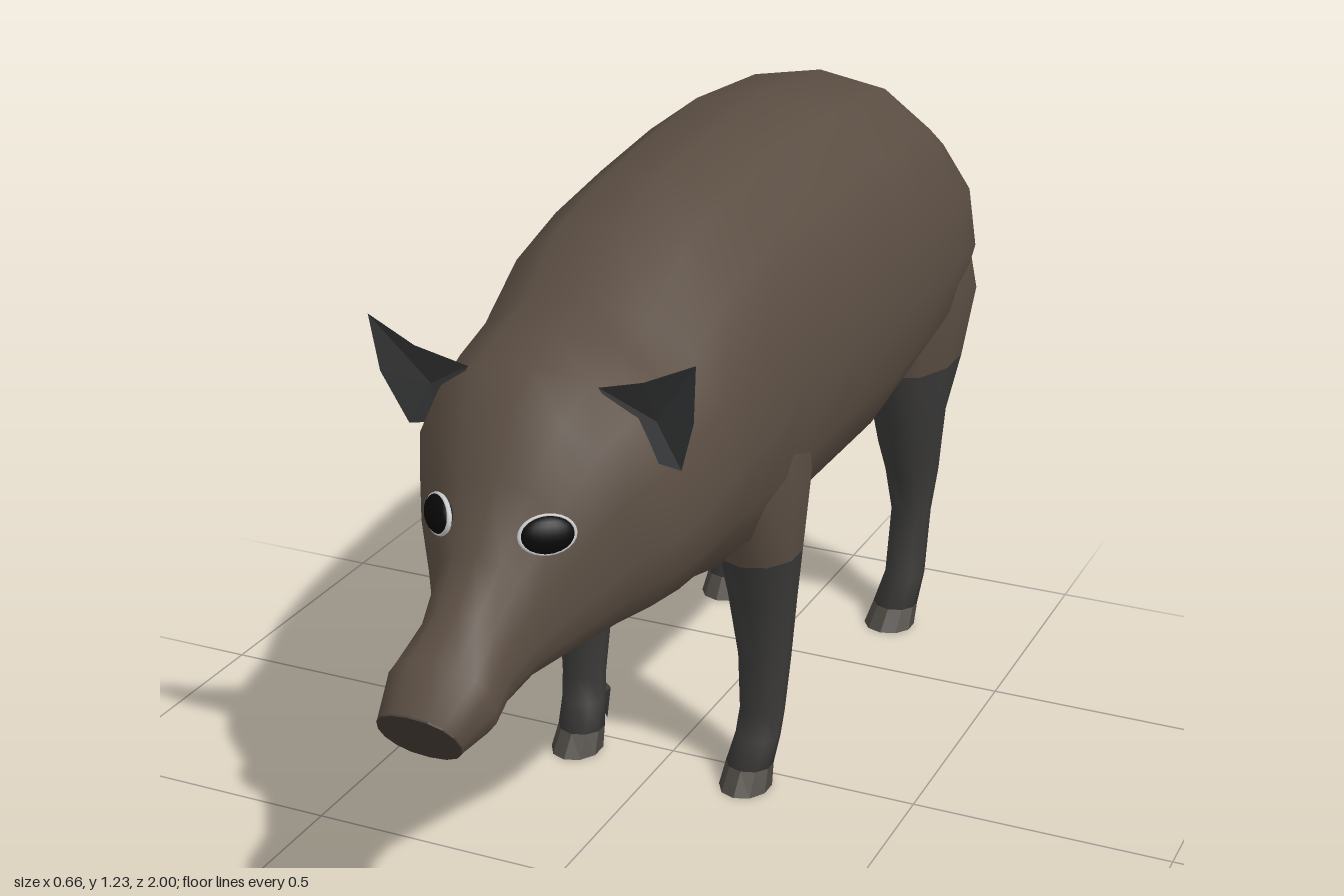
import * as THREE from 'three';

const mat = (color, extra = {}) => new THREE.MeshStandardMaterial({ color, ...extra });
const HIDE = mat(0x5b4e43);
const DARK = mat(0x3b3a39);
const EAR = mat(0x393a3b, { side: THREE.DoubleSide, flatShading: true });
const HOOF = mat(0x4a4640, { flatShading: true });
const BLACK = mat(0x080808);
const RIM = mat(0xcccccc);

function add(parent, name, geometry, material) {
  const mesh = new THREE.Mesh(geometry, material);
  mesh.name = name;
  parent.add(mesh);
  return mesh;
}

// Skin over a list of closed rings, capped at both ends
function loft(rings) {
  const n = rings[0].length, pos = [], index = [];
  rings.forEach(r => r.forEach(p => pos.push(...p)));
  const cap = (r, start) => {
    const c = pos.length / 3, base = r * n;
    pos.push(...[0, 1, 2].map(k => rings[r].reduce((s, p) => s + p[k], 0) / n));
    for (let j = 0; j < n; j++) {
      const a = base + j, b = base + (j + 1) % n;
      index.push(c, start ? b : a, start ? a : b);
    }
  };
  cap(0, true);
  for (let i = 0; i < rings.length - 1; i++) {
    for (let j = 0; j < n; j++) {
      const a = i * n + j, b = i * n + (j + 1) % n;
      index.push(a, b, a + n, b, b + n, a + n);
    }
  }
  cap(rings.length - 1, false);
  const g = new THREE.BufferGeometry();
  g.setAttribute('position', new THREE.Float32BufferAttribute(pos, 3));
  g.setIndex(index);
  g.computeVertexNormals();
  return g;
}

// Upright body section, leaning from (zTop, yTop) to (zBottom, yBottom)
function bodyRing([zT, yT, zB, yB, half, yMid], n = 16) {
  return Array.from({ length: n }, (_, j) => {
    const a = j / n * Math.PI * 2, s = Math.sin(a), c = Math.cos(a);
    const x = half * Math.sign(s) * Math.abs(s) ** 0.88;
    const y = c > 0 ? yMid + (yT - yMid) * c ** 0.9 : yMid + (yMid - yB) * c;
    return [x, y, zB + (zT - zB) * (y - yB) / (yT - yB)];
  });
}

// Level leg section: height, centre x and z, radii x and z
function legRing([y, x, z, rx, rz], side, n = 10) {
  return Array.from({ length: n }, (_, j) => {
    const a = j / n * Math.PI * 2;
    return [side * x - rx * Math.sin(a), y, z + rz * Math.cos(a)];
  });
}

const BODY = [
  [1.00, 0.57, 0.94, 0.47, 0.075, 0.52],
  [0.92, 0.63, 0.87, 0.475, 0.098, 0.55],
  [0.84, 0.68, 0.80, 0.485, 0.085, 0.57],
  [0.77, 0.75, 0.72, 0.50, 0.10, 0.60],
  [0.70, 0.86, 0.64, 0.505, 0.15, 0.65],
  [0.64, 0.96, 0.55, 0.51, 0.205, 0.70],
  [0.57, 1.01, 0.48, 0.51, 0.245, 0.72],
  [0.46, 1.035, 0.40, 0.50, 0.265, 0.74],
  [0.36, 1.06, 0.31, 0.49, 0.27, 0.76],
  [0.22, 1.15, 0.20, 0.46, 0.28, 0.79],
  [0.04, 1.19, 0.09, 0.43, 0.29, 0.82],
  [-0.18, 1.21, -0.09, 0.455, 0.305, 0.84],
  [-0.42, 1.225, -0.42, 0.47, 0.325, 0.85],
  [-0.72, 1.20, -0.64, 0.54, 0.328, 0.85],
  [-0.82, 1.12, -0.77, 0.60, 0.32, 0.85],
  [-0.88, 1.05, -0.85, 0.64, 0.285, 0.84],
  [-0.925, 0.92, -0.91, 0.69, 0.20, 0.81],
  [-0.935, 0.86, -0.925, 0.74, 0.08, 0.80],
];

const FRONT_LEG = [
  [0.85, 0.20, 0.05, 0.07, 0.11], [0.65, 0.20, 0.04, 0.083, 0.13],
  [0.48, 0.185, 0.015, 0.078, 0.092], [0.38, 0.185, 0, 0.066, 0.066],
  [0.25, 0.19, -0.003, 0.051, 0.048], [0.14, 0.19, 0.005, 0.044, 0.037],
  [0.09, 0.186, 0.015, 0.044, 0.038], [0.04, 0.18, 0.04, 0.046, 0.046],
];
const FRONT_HOOF = [[0.04, 0.18, 0.04, 0.046, 0.046], [0, 0.18, 0.06, 0.05, 0.06]];

const HIND_LEG = [
  [0.95, 0.20, -0.73, 0.10, 0.14], [0.75, 0.218, -0.77, 0.105, 0.165],
  [0.60, 0.21, -0.77, 0.088, 0.15], [0.48, 0.20, -0.765, 0.074, 0.108],
  [0.40, 0.20, -0.78, 0.064, 0.095], [0.33, 0.20, -0.80, 0.054, 0.08],
  [0.24, 0.205, -0.79, 0.042, 0.042], [0.10, 0.203, -0.77, 0.042, 0.042],
  [0.04, 0.195, -0.738, 0.047, 0.047],
];
const HIND_HOOF = [[0.04, 0.195, -0.738, 0.047, 0.047], [0, 0.192, -0.71, 0.053, 0.055]];

function makeLeg(name, rings, hoof, side) {
  const leg = new THREE.Group();
  leg.name = name;
  // Hide-coloured upper part, dark shin
  const g = loft(rings.map(r => legRing(r, side)));
  const split = 30 + 60 * 2;
  g.addGroup(0, split, 0);
  g.addGroup(split, g.index.count - split, 1);
  add(leg, 'limb', g, [HIDE, DARK]);
  add(leg, 'hoof', loft(hoof.map(r => legRing(r, side))), HOOF);
  // Pair of dewclaws behind the hoof
  const [, x, z, , rz] = hoof[0];
  for (const s of [-1, 1]) {
    const claw = add(leg, 'dewclaw', new THREE.ConeGeometry(0.016, 0.08, 5), DARK);
    claw.position.set(side * x + s * 0.022, 0.062, z - rz - 0.015);
    claw.rotation.x = Math.PI + 0.25;
  }
  return leg;
}

function makeEar(side) {
  const rim = [[0.12, 0.985, 0.56], [0.21, 1.015, 0.58], [0.30, 1.056, 0.575],
    [0.29, 0.95, 0.56], [0.255, 0.85, 0.53], [0.19, 0.87, 0.55]];
  const centres = [[0.215, 0.92, 0.455], [0.21, 0.93, 0.53]];
  const pos = [];
  // Bulging back and cupped front share one rim
  centres.forEach((c, k) => rim.forEach((p, i) => {
    const q = rim[(i + 1) % rim.length];
    const tri = (k === 0) === (side > 0) ? [c, p, q] : [c, q, p];
    tri.forEach(v => pos.push(side * v[0], v[1], v[2]));
  }));
  const g = new THREE.BufferGeometry();
  g.setAttribute('position', new THREE.Float32BufferAttribute(pos, 3));
  g.computeVertexNormals();
  return g;
}

function makeEye(side) {
  const eye = new THREE.Group();
  eye.name = side > 0 ? 'leftEye' : 'rightEye';
  eye.position.set(side * 0.1, 0.782, 0.712);
  eye.lookAt(side * 0.7, 1.0, 1.44);
  add(eye, 'eyeball', new THREE.SphereGeometry(1, 20, 12), BLACK).scale.set(0.046, 0.032, 0.018);
  add(eye, 'eyeRim', new THREE.TorusGeometry(1, 0.09, 6, 24), RIM).scale.set(0.046, 0.032, 0.05);
  return eye;
}

export function createModel() {
  const model = new THREE.Group();
  model.name = 'pig';

  add(model, 'body', loft(BODY.map(r => bodyRing(r))), HIDE);

  // Flat nose disc over the slanted snout end
  const nose = bodyRing(BODY[0]);
  const shift = d => nose.map(([x, y, z]) => [x, y - d * 0.5, z + d]);
  add(model, 'noseDisc', loft([shift(0.003), shift(-0.004)]), mat(0x453c35, { flatShading: true }));

  for (const side of [1, -1]) {
    const word = side > 0 ? 'left' : 'right';
    model.add(makeLeg(word + 'FrontLeg', FRONT_LEG, FRONT_HOOF, side));
    model.add(makeLeg(word + 'HindLeg', HIND_LEG, HIND_HOOF, side));
    add(model, word + 'Ear', makeEar(side), EAR);
    model.add(makeEye(side));
  }

  // Hanging tail, slightly thicker at the tip
  const tail = [[0.87, -0.915, 0.03], [0.83, -0.96, 0.024], [0.70, -0.98, 0.018],
    [0.58, -0.98, 0.018], [0.53, -0.965, 0.022], [0.485, -0.948, 0.026]];
  add(model, 'tail', loft(tail.map(([y, z, r]) => legRing([y, 0, z, r * 0.8, r], 1, 8))), DARK);

  return model;
}
